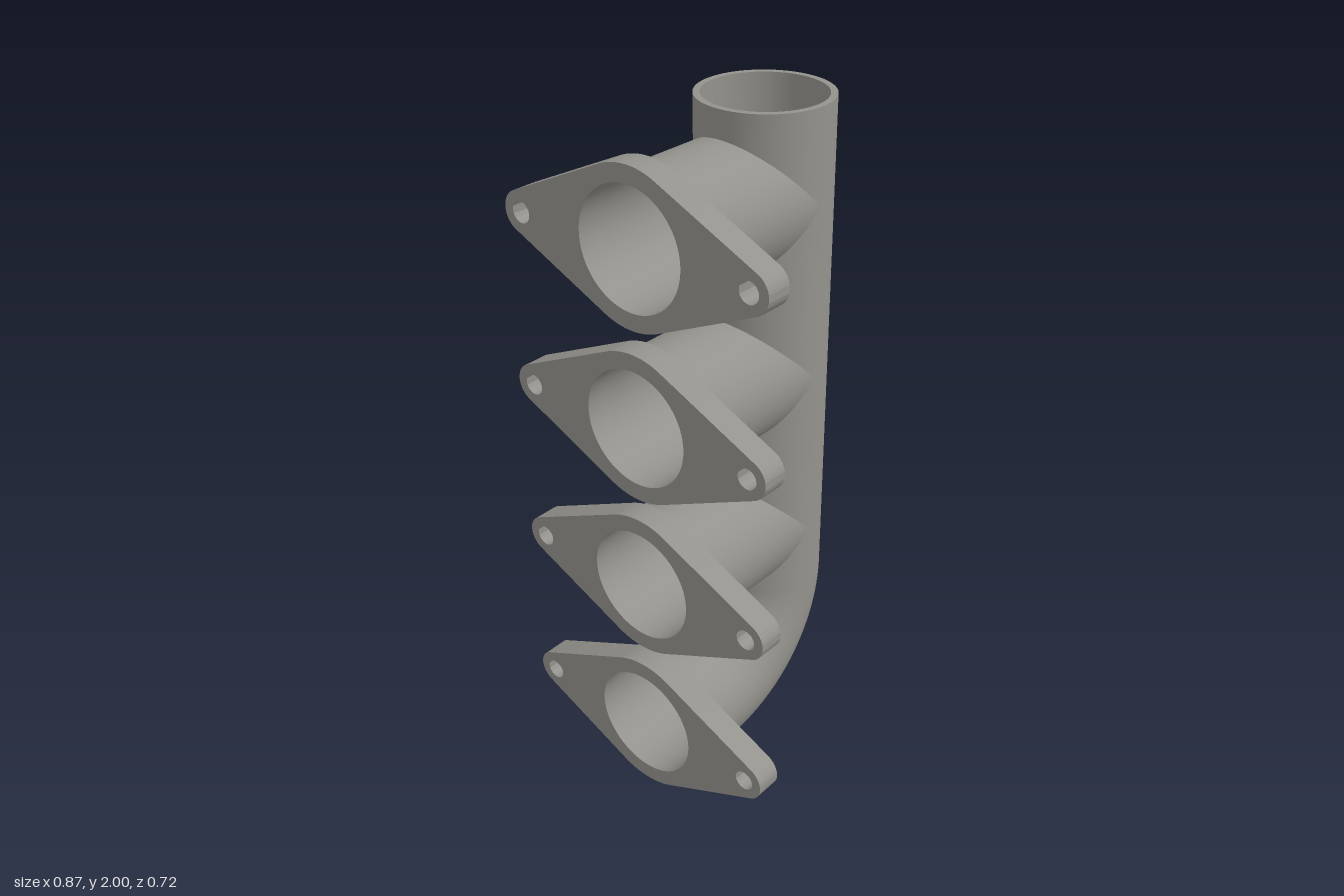
import * as THREE from 'three';
import { mergeVertices, toCreasedNormals } from 'three/addons/utils/BufferGeometryUtils.js';

const OUTER = 0.188, INNER = 0.169;     // pipe radii
const AXIS_Z = -0.17, TOP = 2;          // main pipe axis and top end
const BEND_R = 0.318, BEND_Y = 0.536;   // elbow radius and where it starts
const FLANGE_Z = 0.28, FLANGE_T = 0.077;
const PORT_Y = [0.218, 0.723, 1.228, 1.733];
const SEG = 96;

const material = new THREE.MeshStandardMaterial({ color: 0x94928c });

// Smooth surface from f(u, v) -> [x, y, z], with u and v in 0..1
function surface(f, nu, nv, inward) {
  const pos = [], index = [];
  for (let j = 0; j <= nv; j++)
    for (let i = 0; i <= nu; i++) pos.push(...f(i / nu, j / nv));
  for (let j = 0; j < nv; j++)
    for (let i = 0; i < nu; i++) {
      const a = j * (nu + 1) + i, b = a + 1, c = a + nu + 1, d = c + 1;
      if (inward) index.push(a, d, b, a, c, d);
      else index.push(a, b, d, a, d, c);
    }
  const g = new THREE.BufferGeometry();
  g.setAttribute('position', new THREE.Float32BufferAttribute(pos, 3));
  g.setIndex(index);
  const merged = mergeVertices(g, 1e-5);
  merged.computeVertexNormals();
  return merged;
}

function add(group, name, geometry) {
  const mesh = new THREE.Mesh(geometry, material);
  mesh.name = name;
  group.add(mesh);
  return mesh;
}

// Diamond flange: a big round centre joined by tangents to two bolt ears
function flangeGeometry() {
  const big = 0.218, ear = 0.059, earX = 0.378, bolt = 0.03;
  const b = Math.acos((big - ear) / earX);
  const shape = new THREE.Shape();
  shape.absarc(earX, 0, ear, -b, b, false);
  shape.absarc(0, 0, big, b, Math.PI - b, false);
  shape.absarc(-earX, 0, ear, Math.PI - b, Math.PI + b, false);
  shape.absarc(0, 0, big, Math.PI + b, 2 * Math.PI - b, false);
  for (const [x, r] of [[0, INNER], [earX, bolt], [-earX, bolt]])
    shape.holes.push(new THREE.Path().absarc(x, 0, r, 0, Math.PI * 2, true));
  const g = new THREE.ExtrudeGeometry(shape, { depth: FLANGE_T, bevelEnabled: false, curveSegments: 48 });
  return toCreasedNormals(g, 0.6);
}

export function createModel() {
  const model = new THREE.Group();
  model.name = 'manifold';
  const bendZ = AXIS_Z + BEND_R;

  for (const [r, wall] of [[OUTER, 'Outer'], [INNER, 'Inner']]) {
    const inward = r === INNER;

    // Main pipe in sections between the ports; each edge follows the saddle cut
    const mainPipe = new THREE.Group();
    mainPipe.name = 'mainPipe' + wall;
    model.add(mainPipe);
    for (let k = 0; k < 4; k++) {
      add(mainPipe, 'pipeSection', surface((u, v) => {
        const t = (u - 0.5) * Math.PI * 2;
        const cut = r * Math.max(0, Math.cos(t));
        const low = k === 0 ? BEND_Y : PORT_Y[k] + cut;
        const high = k === 3 ? TOP : PORT_Y[k + 1] - cut;
        return [r * Math.sin(t), low + (high - low) * v, AXIS_Z + r * Math.cos(t)];
      }, SEG, 1, inward));
    }

    // Elbow turning the bottom of the pipe forward
    add(model, 'elbow' + wall, surface((u, v) => {
      const t = u * Math.PI * 2, a = v * Math.PI / 2;
      const d = BEND_R + r * Math.cos(t);
      return [r * Math.sin(t), BEND_Y - d * Math.sin(a), bendZ - d * Math.cos(a)];
    }, SEG, 32, inward));

    // Port pipes: the lowest continues the elbow, the rest saddle onto the main pipe
    PORT_Y.forEach((y, k) => {
      add(model, 'portPipe' + wall, surface((u, v) => {
        const t = u * Math.PI * 2;
        const start = k === 0 ? bendZ : AXIS_Z + r * Math.abs(Math.sin(t));
        return [r * Math.cos(t), y + r * Math.sin(t), start + (FLANGE_Z - start) * v];
      }, SEG, 1, inward));
    });
  }

  // Annular rim at the open top
  const rim = add(model, 'topRim', new THREE.RingGeometry(INNER, OUTER, SEG));
  rim.rotation.x = -Math.PI / 2;
  rim.position.set(0, TOP, AXIS_Z);

  // Bolt flanges
  const flange = flangeGeometry();
  for (const y of PORT_Y) add(model, 'flange', flange).position.set(0, y, FLANGE_Z);

  return model;
}
